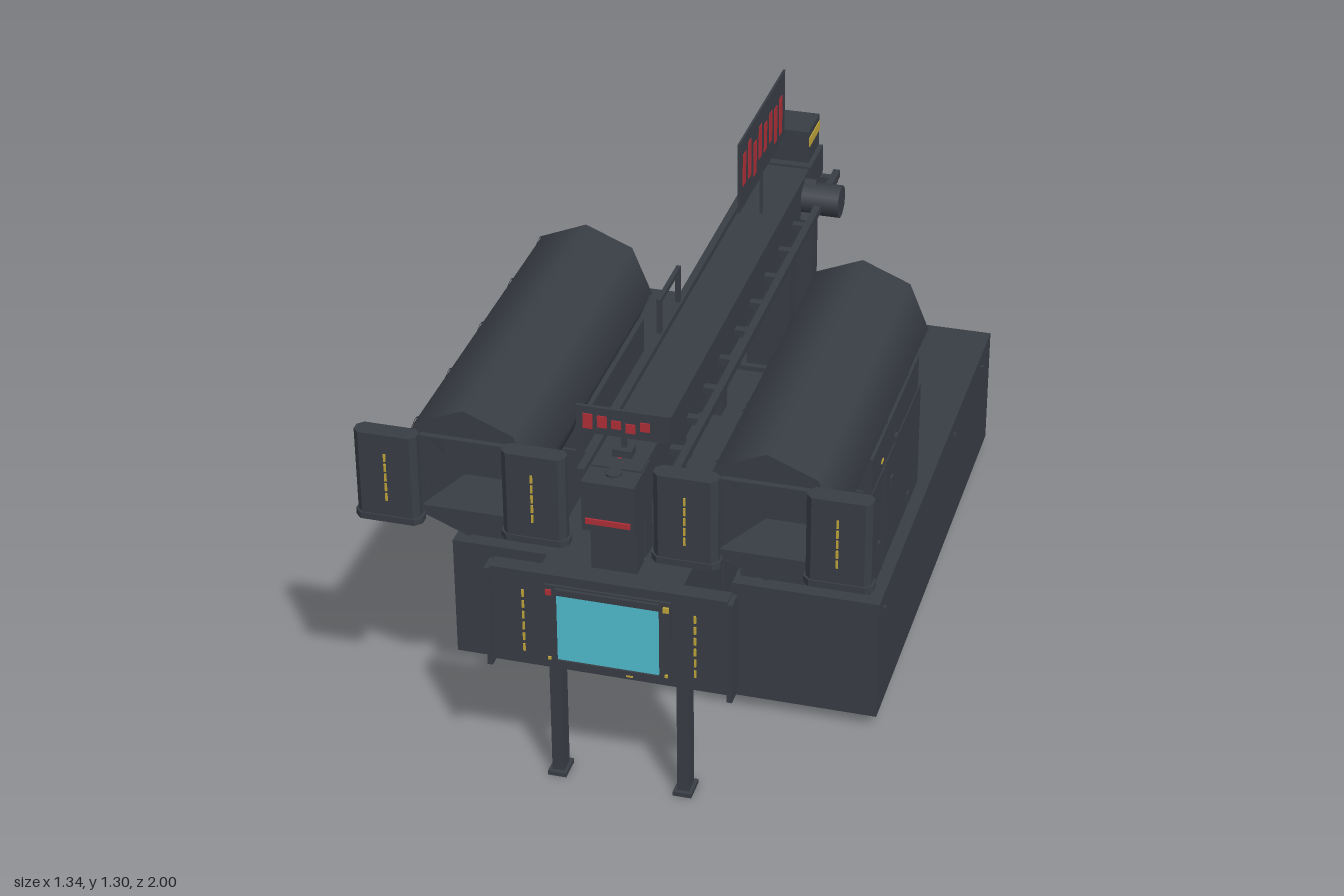
import * as THREE from 'three';

const mat = (name, color, extra = {}) => {
  const m = new THREE.MeshStandardMaterial({ color, ...extra });
  m.name = name;
  return m;
};

export function createModel() {
  const root = new THREE.Group();
  root.name = 'hangarStation';
  const hull = mat('hull grey', 0x393e45);
  const shell = mat('drum grey', 0x393e45, { side: THREE.DoubleSide });
  const cyan = mat('screen cyan', 0x50bdd0);
  const red = mat('signal red', 0xb02f38);
  const yellow = mat('marking yellow', 0xc0a63a);

  const add = (name, geo, m, parent = root) => {
    const mesh = new THREE.Mesh(geo, m);
    mesh.name = name;
    parent.add(mesh);
    return mesh;
  };
  // box from its limits on each axis
  const box = (name, m, x0, x1, y0, y1, z0, z1, parent = root) => {
    const mesh = add(name, new THREE.BoxGeometry(x1 - x0, y1 - y0, z1 - z0), m, parent);
    mesh.position.set((x0 + x1) / 2, (y0 + y1) / 2, (z0 + z1) / 2);
    return mesh;
  };
  // vertical column of short marks on a front face
  const dashes = (name, x, y0, y1, n, z, parent = root) => {
    for (let i = 0; i < n; i++) {
      const y = y0 + ((y1 - y0) * i) / (n - 1);
      box(name, yellow, x - 0.003, x + 0.003, y - 0.011, y + 0.011, z, z + 0.003, parent);
    }
  };

  // base block with underside slabs and pads
  box('base', hull, -0.59, 0.59, 0.04, 0.4, -1, 0.5);
  box('centreSlab', hull, -0.14, 0.14, 0.015, 0.04, -0.12, 0.46);
  for (const s of [-1, 1]) {
    box('sideSlab', hull, s * 0.37 - 0.17, s * 0.37 + 0.17, 0.015, 0.04, -0.12, 0.46);
    for (const z of [0.235, -0.245, -0.73])
      box('pad', hull, s * 0.33 - 0.14, s * 0.33 + 0.14, 0, 0.04, z - 0.06, z + 0.06);
    for (const z of [0.45, -0.46, -0.86])
      box('baseStud', hull, s * 0.594 - 0.004, s * 0.594 + 0.004, 0.355, 0.365, z - 0.005, z + 0.005);
  }

  // central body and rear screen
  box('centreBody', hull, -0.19, 0.19, 0.4, 0.68, -0.12, 0.58);
  box('frontBody', hull, -0.185, 0.185, 0.4, 0.68, 0.58, 0.95);
  box('rearScreen', yellow, -0.16, 0.16, 0.52, 0.65, -0.126, -0.119);
  box('rearSill', hull, -0.185, 0.185, 0.4, 0.5, -0.14, -0.12);
  for (const s of [-1, 1]) box('rearJamb', hull, s * 0.177 - 0.01, s * 0.177 + 0.01, 0.5, 0.68, -0.14, -0.12);

  // front console
  box('consolePanel', hull, -0.32, 0.32, 0.395, 0.675, 0.95, 0.985);
  box('consoleTopLip', hull, -0.31, 0.31, 0.66, 0.68, 0.945, 0.99);
  box('screenFrame', hull, -0.165, 0.165, 0.415, 0.65, 0.98, 0.992);
  box('screen', cyan, -0.133, 0.133, 0.432, 0.625, 0.99, 0.997);
  box('screenTopBar', hull, -0.135, 0.135, 0.627, 0.645, 0.99, 1);
  box('screenBottomBar', hull, -0.135, 0.135, 0.415, 0.43, 0.99, 1);
  box('redLamp', red, -0.162, -0.147, 0.623, 0.638, 0.99, 0.998);
  box('yellowLamp', yellow, 0.145, 0.16, 0.623, 0.638, 0.99, 0.998);
  for (const x of [-0.155, 0.152]) box('smallLamp', yellow, x - 0.004, x + 0.004, 0.426, 0.434, 0.99, 0.997);
  box('baseLamp', yellow, 0.048, 0.066, 0.413, 0.418, 0.997, 1.001);
  for (const s of [-1, 1]) {
    box('consoleEndPost', hull, s * 0.316 - 0.007, s * 0.316 + 0.007, 0.38, 0.675, 0.945, 0.995);
    dashes('consoleMark', s * 0.225, 0.445, 0.61, 6, 0.985);
    // front legs
    box('frontLeg', hull, s * 0.17 - 0.016, s * 0.17 + 0.016, 0.01, 0.4, 0.862, 0.91);
    box('frontFoot', hull, s * 0.17 - 0.025, s * 0.17 + 0.025, 0, 0.012, 0.852, 0.922);
  }
  box('underTray', hull, -0.14, 0.14, 0.36, 0.375, 0.63, 0.86);

  // overhead beam with side rails and ties
  box('beam', hull, -0.065, 0.065, 0.83, 0.965, -0.97, 0.9);
  box('beamHead', hull, -0.068, 0.068, 0.82, 0.96, 0.83, 0.975);
  box('headStripe', red, -0.058, 0.058, 0.842, 0.857, 0.974, 0.98);
  box('headLamp', red, -0.01, 0.01, 0.96, 0.965, 0.85, 0.87);
  const eye = add('headPort', new THREE.CylinderGeometry(0.022, 0.022, 0.012, 8), hull);
  eye.position.set(0, 0.96, 0.92);
  for (const s of [-1, 1]) box('sideRail', hull, s * 0.115 - 0.01, s * 0.115 + 0.01, 0.88, 0.902, -0.965, 0.83);
  for (let i = 0; i < 12; i++) {
    const z = -0.95 + i * 0.159;
    box('railTie', hull, -0.12, 0.12, 0.865, 0.885, z - 0.012, z + 0.012);
  }
  for (const [z, w] of [[-0.645, 0.033], [-0.912, 0.03]]) {
    box('rearPost', hull, -0.065, 0.065, 0.4, 0.84, z - w, z + w);
    box('rearPostFoot', hull, -0.085, 0.085, 0.4, 0.415, z - w - 0.02, z + w + 0.02);
  }
  for (const z of [0.82, 0.505, 0.1]) box('beamSupport', hull, -0.06, 0.06, 0.67, 0.84, z - 0.03, z + 0.03);
  box('beamNeck', hull, -0.06, 0.06, 0.68, 0.83, 0.87, 0.93);

  // motor on the beam's left side
  const motor = add('sideMotor', new THREE.CylinderGeometry(0.048, 0.048, 0.11, 10), hull);
  motor.rotation.z = Math.PI / 2;
  motor.position.set(0.12, 0.9, -0.77);
  const motorArm = box('motorArm', hull, 0.06, 0.1, 0.835, 0.955, -0.795, -0.745);
  motorArm.rotation.x = -0.4;

  // handrail
  for (const z of [-0.07, 0.11]) box('handrailPost', hull, -0.123, -0.111, 0.89, 1.005, z - 0.008, z + 0.008);
  box('handrailTop', hull, -0.123, -0.111, 0.993, 1.007, -0.08, 0.12);

  // rear beacon box
  box('beaconStem', hull, -0.035, 0.035, 0.96, 1.005, -0.91, -0.85);
  box('beaconBox', hull, -0.065, 0.065, 0.99, 1.088, -0.94, -0.812);
  box('beaconStripe', yellow, 0.063, 0.068, 1.04, 1.068, -0.937, -0.815);
  box('beamTailCap', hull, -0.07, 0.07, 0.83, 0.972, -0.975, -0.82);

  // large sign facing the left side
  box('signPole', hull, -0.004, 0.004, 0.96, 1.1, -0.522, -0.514);
  box('sign', hull, -0.003, 0.003, 1.088, 1.297, -0.77, -0.268);
  const bars = [[1.155, 1.25], [1.15, 1.262], [1.13, 1.23], [1.155, 1.253], [1.15, 1.235],
    [1.15, 1.24], [1.12, 1.23], [1.12, 1.235]];
  bars.forEach(([y0, y1], i) => {
    const z = -0.316 - i * 0.0575;
    box('signBar', red, 0.002, 0.005, y0, y1, z - 0.015, z + 0.015);
  });

  // small sign facing the front
  box('smallSignPole', hull, -0.006, 0.006, 0.95, 1.02, 0.822, 0.834);
  box('smallSignFoot', hull, -0.025, 0.025, 0.96, 0.985, 0.81, 0.85);
  box('smallSign', hull, -0.122, 0.12, 1.014, 1.09, 0.825, 0.835);
  [[1.028, 1.07], [1.035, 1.068], [1.037, 1.06], [1.03, 1.056], [1.04, 1.065]].forEach(([y0, y1], i) =>
    box('smallSignBar', red, -0.104 + i * 0.037, -0.079 + i * 0.037, y0, y1, 0.834, 0.838));

  // plan outline of a wing plate, chamfered at its corners
  const wingGeo = (w, d, h, c) => {
    const x = w / 2, z = d / 2;
    const pts = [[-x + c, -z], [x - c, -z], [x, -z + c], [x, z - c], [x - c, z], [-x + c, z], [-x, z - c], [-x, -z + c]];
    const shape = new THREE.Shape(pts.map(p => new THREE.Vector2(...p)));
    return new THREE.ExtrudeGeometry(shape, { depth: h, bevelEnabled: false }).rotateX(-Math.PI / 2);
  };

  // drum bays on their pedestals, one per side
  const R = 0.183, CY = 0.895;
  for (const s of [-1, 1]) {
    const bay = new THREE.Group();
    bay.name = s > 0 ? 'leftBay' : 'rightBay';
    bay.position.x = s * 0.388;
    root.add(bay);

    // octagonal drum, vertex up
    const tube = (name, r, z0, z1, open, m) => {
      const g = new THREE.CylinderGeometry(r, r, z1 - z0, 8, 1, open).rotateX(Math.PI / 2);
      add(name, g, m, bay).position.set(0, CY, (z0 + z1) / 2);
    };
    tube('drum', R, -0.11, 0.92, true, shell);
    tube('drumRearCap', R - 0.002, -0.115, -0.105, false, hull);
    tube('drumRearPlate', 0.13, -0.13, -0.11, false, hull);
    for (const z of [0.9, 0.65, 0.4, 0.15, -0.1]) tube('drumBand', R + 0.004, z - 0.005, z + 0.005, true, shell);

    // front face with a square, recessed opening
    const face = new THREE.Shape();
    for (let i = 0; i < 8; i++) face.lineTo(R * Math.sin(i * Math.PI / 4), R * Math.cos(i * Math.PI / 4));
    const hole = new THREE.Path();
    [[-0.11, -0.1], [0.11, -0.1], [0.11, 0.1], [-0.11, 0.1]].forEach(([x, y]) => hole.lineTo(x, y));
    face.curves.shift();
    face.holes.push(hole);
    add('drumFrontFace', new THREE.ShapeGeometry(face), shell, bay).position.set(0, CY, 0.919);
    box('openingBack', hull, -0.112, 0.112, CY - 0.1, CY + 0.1, 0.76, 0.77, bay);
    for (const t of [-1, 1]) {
      box('openingSide', hull, t * 0.113 - 0.003, t * 0.113 + 0.003, CY - 0.102, CY + 0.102, 0.77, 0.925, bay);
      box('openingEdge', hull, -0.112, 0.112, CY + t * 0.102 - 0.003, CY + t * 0.102 + 0.003, 0.77, 0.935, bay);
      // wing plates beside the opening
      const w = 0.165, x = t * 0.193;
      add('wing', wingGeo(w, 0.052, 0.245, 0.015), hull, bay).position.set(x, 0.764, 0.949);
      add('wingLedge', wingGeo(w + 0.012, 0.06, 0.018, 0.017), hull, bay).position.set(x, 0.757, 0.949);
      dashes('wingMark', t * 0.192, 0.83, 0.945, 5, 0.975, bay);
      // cradle sides
      box('cradleSide', hull, t * 0.152 - 0.012, t * 0.152 + 0.012, 0.7, 0.815, -0.1, 0.46, bay);
      box('drumBracket', hull, t * 0.152 - 0.012, t * 0.152 + 0.012, 0.72, 0.8, 0.8, 0.84, bay);
    }
    box('openingMark', yellow, -0.064, 0.064, 0.968, 0.973, 0.769, 0.774, bay);

    // pedestal
    box('pedestal', hull, -0.185, 0.167, 0.4, 0.715, -0.125, 0.46, bay).position.x *= s;
    for (const z of [-0.1, 0.16, 0.44]) box('cradleRib', hull, -0.15, 0.15, 0.7, 0.8, z - 0.012, z + 0.012, bay);
    const px = s * 0.167;
    for (const [z, y] of [[0.19, 0.72], [0.02, 0.435], [0.24, 0.62], [0.38, 0.5]])
      box('sideHatch', hull, px - 0.005, px + 0.005, y - 0.016, y + 0.016, z - 0.011, z + 0.011, bay);
    box('sideSeam', hull, px - 0.003, px + 0.003, 0.4, 0.715, 0.33, 0.337, bay);
    box('sideMark', yellow, s * 0.164 - 0.003, s * 0.164 + 0.003, 0.741, 0.749, 0.335, 0.355, bay);
    for (const [x, y] of [[0.05, 0.63], [-0.02, 0.645], [0.02, 0.505], [-0.005, 0.47], [0.06, 0.455]])
      box('frontHatch', hull, s * x - 0.013, s * x + 0.013, y - 0.012, y + 0.012, 0.455, 0.466, bay);
    for (const [x, y] of [[0.1, 0.66], [-0.05, 0.6], [0.06, 0.5], [-0.1, 0.45]])
      box('rearHatch', hull, s * x - 0.014, s * x + 0.014, y - 0.016, y + 0.016, -0.134, -0.12, bay);
  }
  return root;
}
